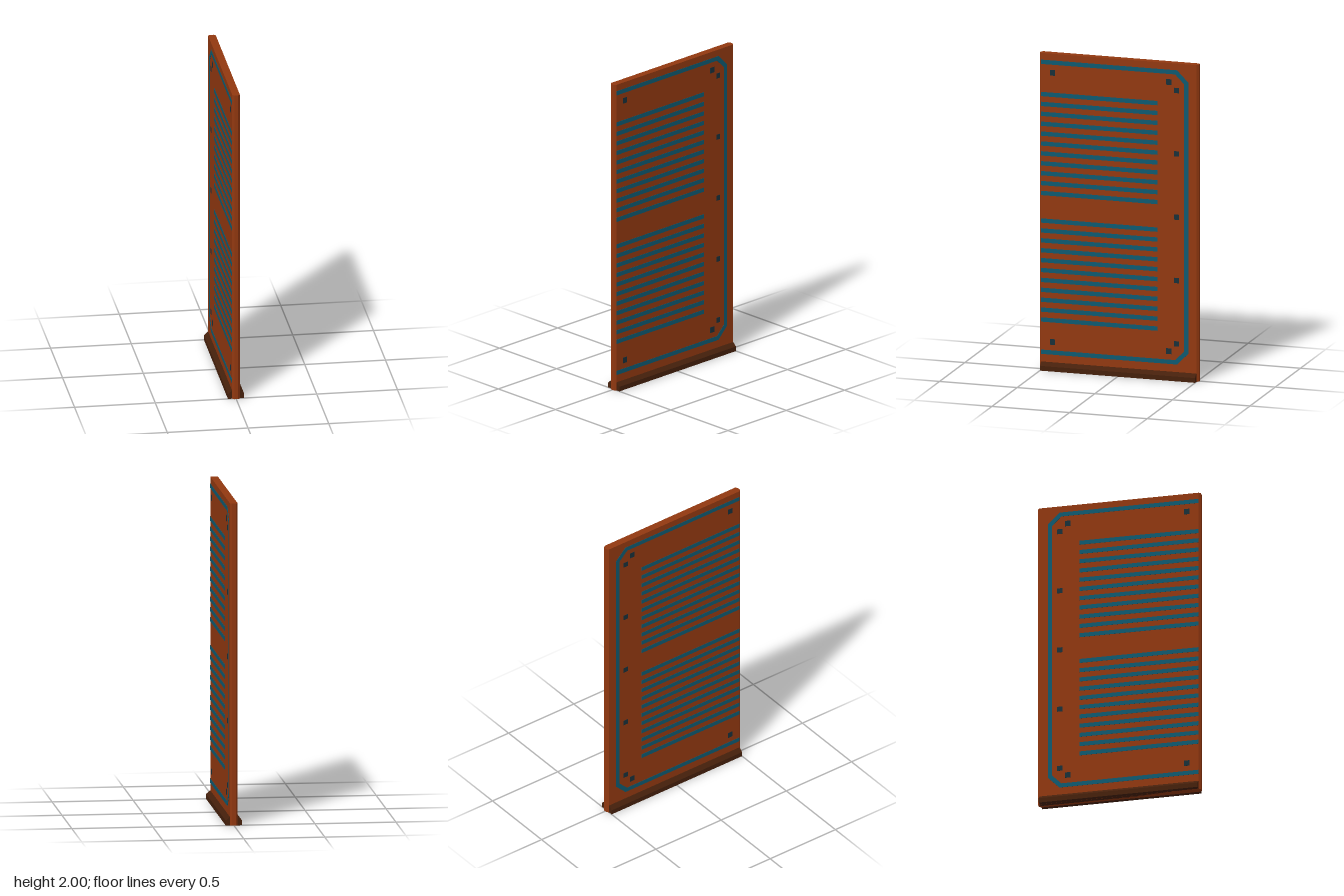
import * as THREE from 'three';

const paint = (name, color) => {
  const m = new THREE.MeshStandardMaterial({ color });
  m.name = name;
  return m;
};

const HALF = 0.0235;  // half the panel thickness
const PLATE = 0.0015; // thickness of the painted details

function extrude(points, depth) {
  const shape = new THREE.Shape(points.map(([x, y]) => new THREE.Vector2(x, y)));
  return new THREE.ExtrudeGeometry(shape, { depth, bevelEnabled: false });
}

export function createModel() {
  const rust = paint('rust', 0x923810);
  const teal = paint('teal', 0x0e5a70);
  const slate = paint('dark slate', 0x18303a);
  const brown = paint('dark brown', 0x46200b);
  const model = new THREE.Group();

  const add = (name, geometry, material, parent = model) => {
    const mesh = new THREE.Mesh(geometry, material);
    mesh.name = name;
    parent.add(mesh);
    return mesh;
  };

  // Upright panel with bevelled front and back edges
  const panel = extrude([
    [-HALF, -0.5], [-0.012, -0.512], [0.012, -0.512], [HALF, -0.5],
    [HALF, 0.5], [0.012, 0.512], [-0.012, 0.512], [-HALF, 0.5],
  ], 2);
  panel.rotateX(-Math.PI / 2);
  add('panel', panel, rust);

  // Floor rail with sloping shoulders
  const rail = extrude([
    [-0.05, 0], [0.05, 0], [0.05, 0.03], [0.026, 0.052], [-0.026, 0.052], [-0.05, 0.03],
  ], 1);
  rail.translate(0, 0, -0.5);
  add('floorRail', rail, brown);

  // Painted details, the same on both faces; outlines are given as [z, y]
  for (const side of [1, -1]) {
    const face = new THREE.Group();
    face.name = side > 0 ? 'leftFaceDetails' : 'rightFaceDetails';
    model.add(face);

    const plate = (name, outline, material) => {
      const g = extrude(outline.map(([z, y]) => [-z, y]), PLATE);
      g.rotateY(Math.PI / 2);
      g.translate(side > 0 ? HALF : -HALF - PLATE, 0, 0);
      add(name, g, material, face);
    };
    const rect = (name, z0, z1, y, h, material) => plate(name,
      [[z0, y - h / 2], [z1, y - h / 2], [z1, y + h / 2], [z0, y + h / 2]], material);

    // Border line with cut corners, open to the front
    plate('borderLine', [
      [0.5, 1.958], [-0.375, 1.958], [-0.448, 1.885], [-0.448, 0.173], [-0.375, 0.1], [0.5, 0.1],
      [0.5, 0.127], [-0.363, 0.127], [-0.421, 0.185], [-0.421, 1.873], [-0.363, 1.931], [0.5, 1.931],
    ], teal);

    // Two banks of stripes
    for (const top of [1.741, 0.942]) {
      for (let i = 0; i < 11; i++) rect('stripe', 0.5, -0.25, top - i * 0.0625, 0.027, teal);
    }

    // Square studs in the corners and along the back
    for (const y of [1.88, 0.18]) {
      for (const z of [0.427, -0.322]) rect('cornerStud', z + 0.017, z - 0.017, y, 0.036, slate);
    }
    for (let i = 0; i < 5; i++) rect('edgeStud', -0.357, -0.389, 1.83 - i * 0.4, 0.033, slate);
  }

  return model;
}
